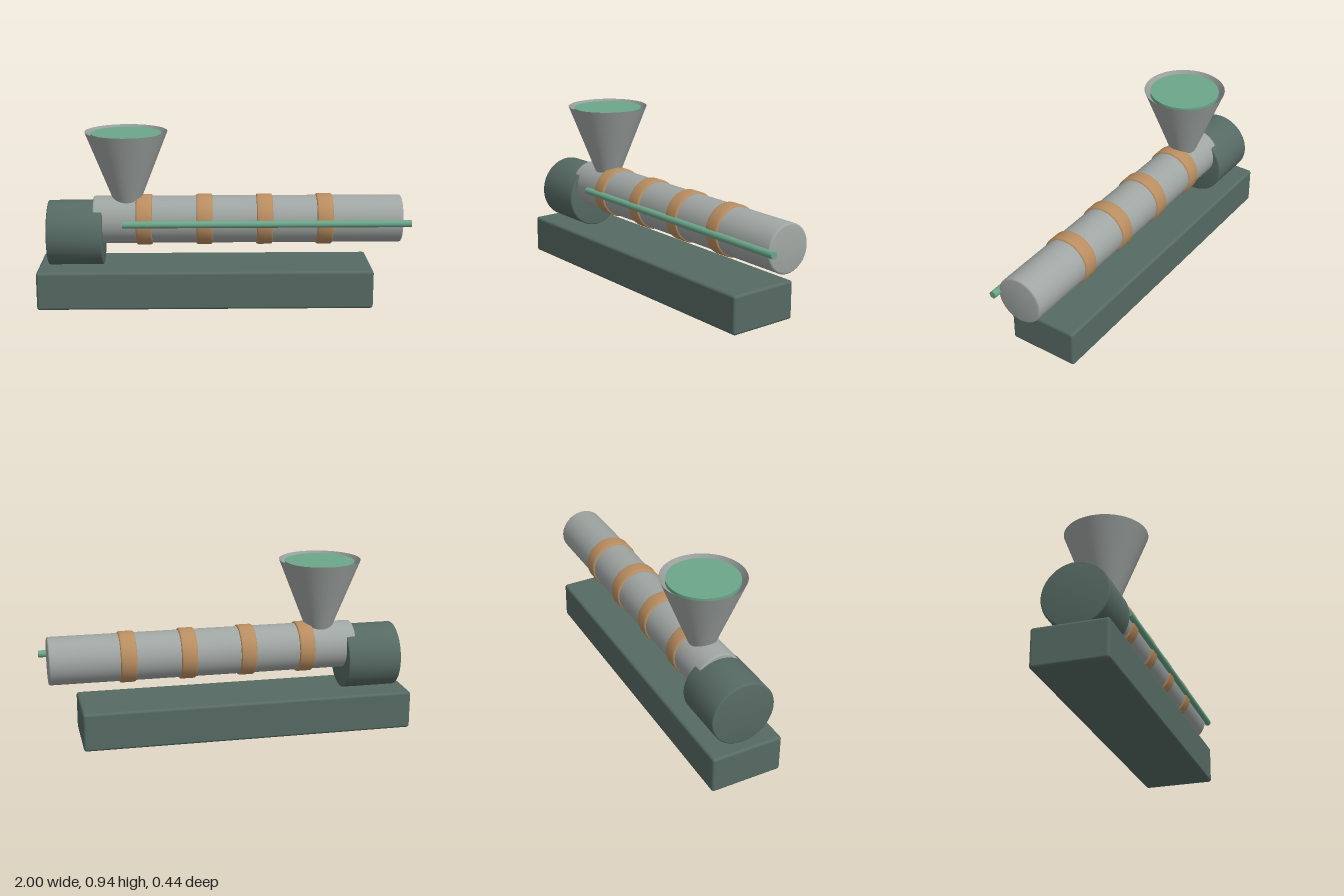
import * as THREE from 'three';
import { toCreasedNormals } from 'three/addons/utils/BufferGeometryUtils.js';
import { RoundedBoxGeometry } from 'three/addons/geometries/RoundedBoxGeometry.js';

const material = (name, color, side = THREE.FrontSide) =>
  Object.assign(new THREE.MeshStandardMaterial({ color, side }), { name });

export function createModel() {
  const model = new THREE.Group();
  model.name = 'extruder';
  const darkGreen = material('dark green enamel', 0x566a63);
  const steel = material('steel', 0xa0a6a3, THREE.DoubleSide);
  const copper = material('copper', 0xb98d60);
  const green = material('green plastic', 0x6ba68a);

  const add = (name, geometry, mat, x, y, z) => {
    const mesh = new THREE.Mesh(geometry, mat);
    mesh.name = name;
    mesh.position.set(x, y, z);
    model.add(mesh);
    return mesh;
  };

  // Solid round bar along x with rounded end edges
  const bar = (radius, length, bevel) => {
    const h = length / 2;
    const points = [new THREE.Vector2(0, -h)];
    for (const end of [-1, 1]) {
      for (let i = 0; i <= 4; i++) {
        const a = (end < 0 ? i - 4 : i) * Math.PI / 8;
        points.push(new THREE.Vector2(
          radius - bevel + bevel * Math.cos(a),
          end * (h - bevel) + bevel * Math.sin(a)));
      }
    }
    points.push(new THREE.Vector2(0, h));
    const geometry = new THREE.LatheGeometry(points, 64);
    geometry.rotateZ(-Math.PI / 2);
    return toCreasedNormals(geometry, 0.5);
  };

  // Base and drive housing
  add('base', new RoundedBoxGeometry(1.8, 0.208, 0.392, 4, 0.015), darkGreen, -0.1, 0.104, 0);
  add('motorHousing', bar(0.175, 0.296, 0.008), darkGreen, -0.795, 0.382, 0);

  // Barrel with its heater bands
  const axisY = 0.452;
  add('barrel', bar(0.128, 1.66, 0.01), steel, 0.13, axisY, 0);
  for (let i = 0; i < 4; i++) {
    add('heaterBand' + (i + 1), bar(0.137, 0.087, 0.01), copper, -0.426 + i * 0.323, axisY, 0);
  }

  // Extruded strand running beside the barrel
  const strand = new THREE.CylinderGeometry(0.019, 0.019, 1.54, 24);
  strand.rotateZ(-Math.PI / 2);
  add('strand', strand, green, 0.23, 0.455, 0.133);

  // Open hopper and the material filling it
  add('hopper', new THREE.CylinderGeometry(0.22, 0.07, 0.383, 64, 1, true), steel, -0.518, 0.7435, 0);
  add('hopperFill', new THREE.CylinderGeometry(0.188, 0.188, 0.02, 64), green, -0.518, 0.917, 0);

  return model;
}
